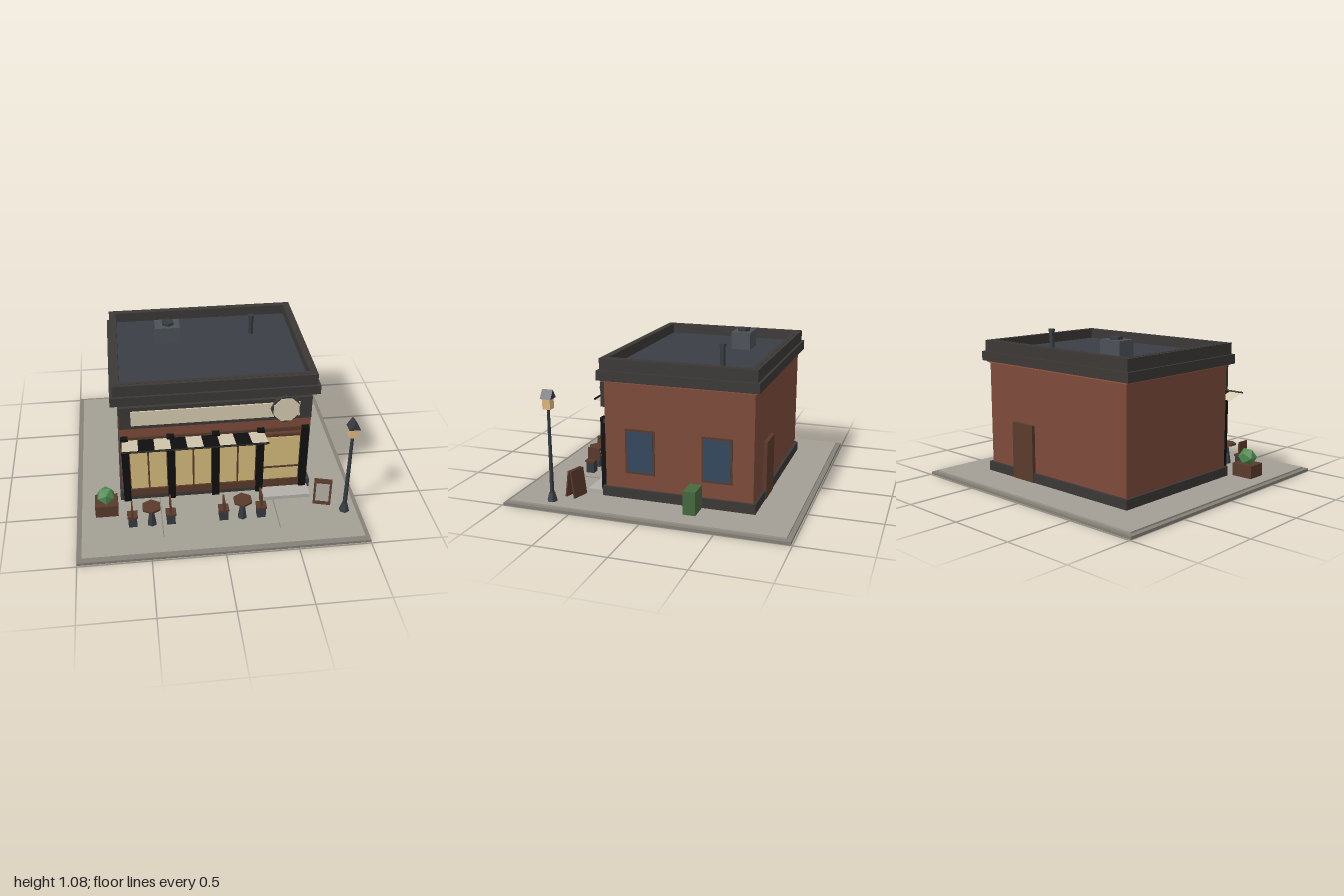
import * as THREE from 'three';

const mats = {};
function mat(color, side = THREE.FrontSide) {
  const key = color + '_' + side;
  return (mats[key] ??= new THREE.MeshStandardMaterial({ color, side, flatShading: true }));
}

const BRICK = 0x7d4b3a, TRIM = 0x93573f, DARK = 0x3b3836, ROOF = 0x3a3f45, WOOD = 0x5a3a2c,
  BLACK = 0x101010, CREAM = 0xd6cbb0, GLOW = 0xd6bb7c, BLUE = 0x34495e, STEEL = 0x363b41,
  PAVING = 0xa39f95, CURB = 0x858178, STEP = 0xb3b0aa, GREEN = 0x47693f, LEAF = 0x4f8a50;

function add(parent, name, geometry, color, x = 0, y = 0, z = 0, side) {
  const mesh = new THREE.Mesh(geometry, mat(color, side));
  mesh.name = name;
  mesh.position.set(x, y, z);
  parent.add(mesh);
  return mesh;
}

// Box given by its extents along each axis
function box(parent, name, color, [x0, x1], [y0, y1], [z0, z1]) {
  return add(parent, name, new THREE.BoxGeometry(x1 - x0, y1 - y0, z1 - z0), color,
    (x0 + x1) / 2, (y0 + y1) / 2, (z0 + z1) / 2);
}

// Upright cylinder from y0 to y1
function post(parent, name, color, x, z, y0, y1, rBottom, rTop, sides) {
  return add(parent, name, new THREE.CylinderGeometry(rTop, rBottom, y1 - y0, sides), color, x, (y0 + y1) / 2, z);
}

function group(parent, name, x = 0, y = 0, z = 0) {
  const g = new THREE.Group();
  g.name = name;
  g.position.set(x, y, z);
  parent.add(g);
  return g;
}

// Rectangular ring of walls
function ring(parent, name, color, hx, hz, ix, iz, y0, y1, cz) {
  const s = new THREE.Shape([[-hx, -hz], [hx, -hz], [hx, hz], [-hx, hz]].map(p => new THREE.Vector2(...p)));
  s.holes.push(new THREE.Path([[-ix, -iz], [-ix, iz], [ix, iz], [ix, -iz]].map(p => new THREE.Vector2(...p))));
  const geo = new THREE.ExtrudeGeometry(s, { depth: y1 - y0, bevelEnabled: false }).rotateX(-Math.PI / 2);
  add(parent, name, geo, color, 0, y0, cz);
}

function buildShell(root) {
  const g = group(root, 'building');
  box(g, 'brickWalls', BRICK, [-0.67, 0.67], [0.03, 0.86], [-0.67, 0.37]);
  box(g, 'plinth', DARK, [-0.69, 0.69], [0.03, 0.1], [-0.69, 0.39]);
  box(g, 'brickTrim', TRIM, [-0.685, 0.685], [0.84, 0.855], [-0.685, 0.385]);
  ring(g, 'cornice', DARK, 0.717, 0.557, 0.66, 0.5, 0.853, 0.92, -0.15);
  ring(g, 'parapet', DARK, 0.697, 0.54, 0.645, 0.49, 0.92, 1.0, -0.15);
  ring(g, 'parapetLip', DARK, 0.672, 0.517, 0.645, 0.49, 0.995, 1.002, -0.15);
  box(g, 'roofDeck', ROOF, [-0.66, 0.66], [0.86, 0.93], [-0.66, 0.36]);
  // Roof equipment
  box(g, 'roofUnit', 0x4c5158, [-0.365, -0.185], [0.93, 1.055], [-0.41, -0.27]);
  post(g, 'roofFan', STEEL, -0.27, -0.34, 1.055, 1.075, 0.047, 0.047, 6);
  post(g, 'ventPipe', STEEL, 0.35, -0.36, 0.93, 1.06, 0.019, 0.019, 6);
  post(g, 'ventCap', STEEL, 0.35, -0.36, 1.06, 1.08, 0.024, 0.024, 6);
  // Side windows and back door
  for (const z of [0.118, -0.422]) {
    box(g, 'sideWindowFrame', WOOD, [0.665, 0.678], [0.21, 0.525], [z - 0.105, z + 0.105]);
    box(g, 'sideWindowGlass', BLUE, [0.67, 0.682], [0.225, 0.51], [z - 0.092, z + 0.092]);
  }
  box(g, 'backDoor', WOOD, [0.2, 0.41], [0.03, 0.44], [-0.695, -0.66]);
  box(g, 'utilityBox', GREEN, [0.69, 0.835], [0.03, 0.195], [-0.325, -0.24]);
}

function buildStorefront(root) {
  const g = group(root, 'storefront');
  const columns = [-0.638, -0.318, -0.002, 0.316, 0.632];
  for (const x of columns) box(g, 'pilaster', BLACK, [x - 0.026, x + 0.026], [0.03, 0.58], [0.36, 0.41]);
  box(g, 'lintel', WOOD, [-0.66, 0.66], [0.545, 0.575], [0.36, 0.385]);
  // Three window bays with a centre mullion
  for (let i = 0; i < 3; i++) {
    const a = columns[i] + 0.026, b = columns[i + 1] - 0.026, m = (a + b) / 2;
    box(g, 'windowFrame', WOOD, [a, b], [0.1, 0.545], [0.36, 0.378]);
    box(g, 'windowGlass', GLOW, [a + 0.006, b - 0.006], [0.125, 0.515], [0.37, 0.384]);
    box(g, 'mullion', WOOD, [m - 0.006, m + 0.006], [0.125, 0.52], [0.37, 0.39]);
    box(g, 'kickPlate', WOOD, [a, b], [0.068, 0.125], [0.37, 0.396]);
  }
  // Glazed door
  box(g, 'doorFrame', WOOD, [0.342, 0.606], [0.06, 0.52], [0.36, 0.38]);
  box(g, 'doorGlass', GLOW, [0.348, 0.6], [0.125, 0.495], [0.37, 0.386]);
  box(g, 'doorRail', WOOD, [0.345, 0.603], [0.23, 0.243], [0.37, 0.392]);
  box(g, 'doorKickPlate', WOOD, [0.342, 0.606], [0.06, 0.125], [0.37, 0.396]);
  box(g, 'doorStep', STEP, [0.335, 0.67], [0.03, 0.06], [0.37, 0.51]);

  // Fascia and round sign
  box(g, 'fascia', DARK, [-0.665, 0.665], [0.66, 0.832], [0.36, 0.4]);
  box(g, 'fasciaPanel', CREAM, [-0.585, 0.58], [0.69, 0.803], [0.37, 0.41]);
  const sign = group(g, 'roundSign', 0.477, 0.768, 0.43);
  add(sign, 'signRim', new THREE.CylinderGeometry(0.106, 0.106, 0.025, 8).rotateX(Math.PI / 2), DARK);
  add(sign, 'signFace', new THREE.CylinderGeometry(0.096, 0.096, 0.03, 8).rotateY(Math.PI / 8).rotateX(Math.PI / 2),
    CREAM, 0, 0, 0.003);

  // Striped awning sheet, rising outward to a front bar
  const awning = group(g, 'awning');
  const x0 = -0.657, w = 0.9945 / 9, tilt = Math.atan2(0.055, 0.225);
  for (let i = 0; i < 9; i++) {
    const stripe = add(awning, 'awningStripe', new THREE.PlaneGeometry(w, Math.hypot(0.055, 0.225)).rotateX(-Math.PI / 2),
      i % 2 ? BLACK : CREAM, x0 + w * (i + 0.5), 0.579, 0.485, THREE.DoubleSide);
    stripe.rotation.x = -tilt;
  }
  add(awning, 'awningBar', new THREE.CylinderGeometry(0.007, 0.007, 0.9945, 6).rotateZ(Math.PI / 2), BLACK,
    x0 + 0.497, 0.609, 0.597);
}

function buildStreet(root) {
  const g = group(root, 'street');
  box(g, 'curb', CURB, [-1, 1], [0, 0.02], [-0.99, 0.99]);
  box(g, 'pavement', PAVING, [-0.967, 0.967], [0.02, 0.032], [-0.957, 0.957]);
  for (const x of [-0.408, 0.402]) box(g, 'pavingJoint', CURB, [x - 0.003, x + 0.003], [0.03, 0.034], [0.39, 0.81]);

  // Café tables, each with a chair on both sides
  for (const x of [-0.48, 0.155]) {
    const set = group(g, 'tableSet', x, 0, 0.665);
    post(set, 'tableLeg', STEEL, 0, 0, 0.03, 0.178, 0.034, 0.012, 6);
    post(set, 'tableTop', WOOD, 0, 0, 0.175, 0.191, 0.07, 0.07, 6);
    for (const s of [-1, 1]) {
      const chair = group(set, 'chair', s * 0.133, 0, -0.005);
      box(chair, 'chairBase', STEEL, [-0.03, 0.03], [0.03, 0.115], [-0.03, 0.03]);
      box(chair, 'chairSeat', WOOD, [-0.036, 0.036], [0.112, 0.127], [-0.036, 0.036]);
      box(chair, 'chairBack', WOOD, [-0.006, 0.006], [0.125, 0.22], [-s * 0.022 - 0.048, -s * 0.022 + 0.048]);
    }
  }

  // Planter
  const planter = group(g, 'planter', -0.79, 0, 0.492);
  box(planter, 'planterBox', WOOD, [-0.08, 0.08], [0.03, 0.125], [-0.07, 0.07]);
  add(planter, 'bush', new THREE.IcosahedronGeometry(0.068, 0), LEAF, 0, 0.17, 0);

  // Folding pavement board
  const board = group(g, 'pavementBoard', 0.748, 0.03, 0.565);
  board.rotation.y = -0.27;
  for (const s of [1, -1]) {
    const leaf = group(board, 'boardLeaf', 0, 0, s * 0.038);
    leaf.rotation.x = -s * 0.15;
    box(leaf, 'boardFrame', WOOD, [-0.063, 0.063], [0.005, 0.195], [-0.006, 0.006]);
    if (s > 0) box(leaf, 'boardPanel', 0xa8a49a, [-0.047, 0.047], [0.035, 0.175], [0, 0.009]);
  }

  // Street lamp with a gabled cap
  const lamp = group(g, 'streetLamp', 0.885, 0, 0.677);
  post(lamp, 'lampFoot', STEEL, 0, 0, 0.03, 0.09, 0.038, 0.022, 6);
  post(lamp, 'lampPole', STEEL, 0, 0, 0.09, 0.68, 0.016, 0.011, 6);
  box(lamp, 'lantern', 0xdfb97f, [-0.028, 0.028], [0.68, 0.755], [-0.028, 0.028]);
  const gable = new THREE.Shape([[-0.039, 0], [0.039, 0], [0, 0.06]].map(p => new THREE.Vector2(...p)));
  add(lamp, 'lampCap', new THREE.ExtrudeGeometry(gable, { depth: 0.078, bevelEnabled: false }), STEEL, 0, 0.752, -0.039);
}

export function createModel() {
  const root = new THREE.Group();
  root.name = 'cornerCafe';
  buildStreet(root);
  buildShell(root);
  buildStorefront(root);
  return root;
}
